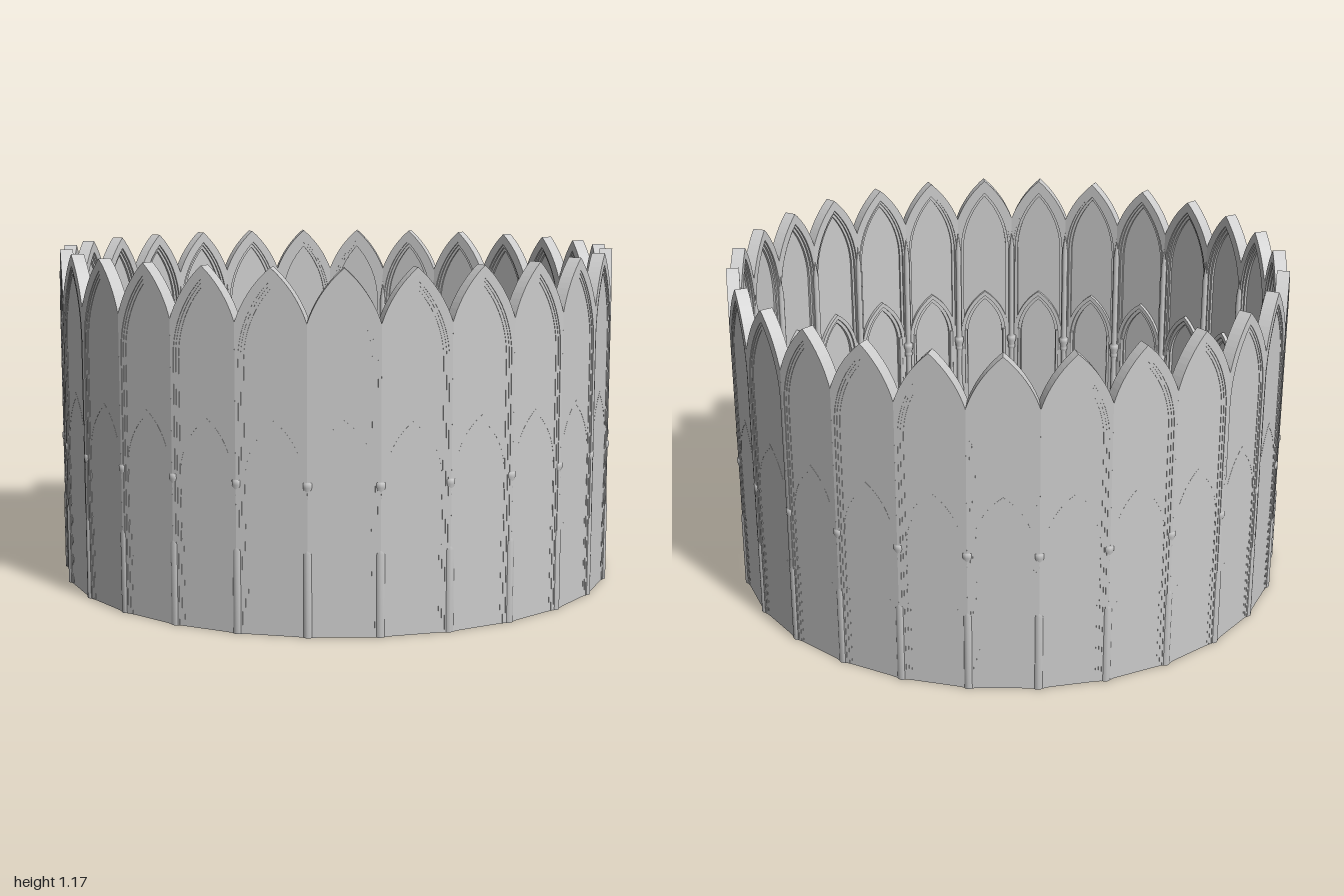
import * as THREE from 'three';

const BAYS = 27;
const STEP = (Math.PI * 2) / BAYS;
const HALF = 0.1157; // half width of one bay

const grey = new THREE.MeshStandardMaterial({ color: 0xcccccc, side: THREE.DoubleSide });

// Pointed arch outline from the right foot over the apex to the left foot.
// c: offset of the arc centres, r: arc radius, spring: springing height
function archLine(c, r, spring, foot, clip = Infinity, n = 10) {
  const start = Math.acos(Math.min(1, (clip + c) / r));
  const end = Math.acos(c / r);
  const right = [];
  for (let i = 0; i <= n; i++) {
    const t = start + ((end - start) * i) / n;
    right.push(new THREE.Vector2(-c + r * Math.cos(t), spring + r * Math.sin(t)));
  }
  right.unshift(new THREE.Vector2(right[0].x, foot));
  const left = right.slice(0, -1).reverse().map((p) => new THREE.Vector2(-p.x, p.y));
  return [...right, ...left];
}

// Extrudes an outline between two distances from the ring's axis
function slab(points, inner, outer) {
  const geo = new THREE.ExtrudeGeometry(new THREE.Shape(points), {
    depth: outer - inner, bevelEnabled: false,
  });
  return geo.translate(0, 0, inner);
}

// Band between an outer and an inner arch line
const band = (outerLine, innerLine, zIn, zOut) =>
  slab([...outerLine, ...innerLine.slice().reverse()], zIn, zOut);

// Turned shaft with plinth, capital and upper shaft
function shaftGeometry() {
  const profile = [
    [0, 0], [0.018, 0], [0.018, 0.27], [0.013, 0.29], [0.011, 0.3], [0.011, 0.445],
    [0.015, 0.45], [0.015, 0.46], [0.013, 0.465], [0.019, 0.485], [0.019, 0.5],
    [0.011, 0.505], [0.011, 0.88], [0, 0.96],
  ].map(([x, y]) => new THREE.Vector2(x, y));
  return new THREE.LatheGeometry(profile, 10);
}

export function createModel() {
  const model = new THREE.Group();
  model.name = 'archedRing';

  // Arch lines of the tall upper arch and the small lower arch
  const C = 0.249, S = 0.88;
  const rim = archLine(C, 0.384, S, 0.0, HALF);
  const rimInner = archLine(C, 0.354, S, 0.0);
  const mould = archLine(C, 0.346, S, 0.0);
  const opening = archLine(C, 0.336, S, 0.0);
  const c = 0.126, s = 0.51;
  const lowRim = archLine(c, 0.226, s, 0.29);
  const lowMid = archLine(c, 0.211, s, 0.0);
  const lowOpening = archLine(c, 0.198, s, 0.0);

  const parts = {
    upperArch: band(rim, rimInner, 0.945, 0.99),
    upperArchMoulding: band(rimInner, mould, 0.951, 0.988),
    upperArchInnerMoulding: band(mould, opening, 0.958, 0.9865),
    wall: band(opening, lowMid, 0.966, 0.985),
    lowerArch: band(lowRim, lowMid, 0.952, 0.9855),
    lowerArchMoulding: band(lowMid, lowOpening, 0.96, 0.985),
    recessedPanel: slab(lowOpening, 0.973, 0.985),
  };

  // Slim jamb shafts beside each lower arch, on a small base
  const jamb = new THREE.CylinderGeometry(0.006, 0.006, 0.24, 8).translate(0, 0.41, 0);
  const jambBase = new THREE.BoxGeometry(0.02, 0.29, 0.03).translate(0, 0.145, 0);
  const shaft = shaftGeometry();

  const add = (group, name, geo, x = 0, z = 0) => {
    const mesh = new THREE.Mesh(geo, grey);
    mesh.name = name;
    mesh.position.set(x, 0, z);
    group.add(mesh);
  };

  for (let i = 0; i < BAYS; i++) {
    const bay = new THREE.Group();
    bay.name = 'bay';
    bay.rotation.y = (i + 0.5) * STEP;
    for (const [name, geo] of Object.entries(parts)) add(bay, name, geo);
    for (const side of [-1, 1]) {
      add(bay, 'jambShaft', jamb, side * 0.08, 0.955);
      add(bay, 'jambBase', jambBase, side * 0.087, 0.9705);
    }
    model.add(bay);

    // Shafts on both faces of the joint between two bays
    const pier = new THREE.Group();
    pier.name = 'pier';
    pier.rotation.y = i * STEP;
    add(pier, 'innerShaft', shaft, 0, 0.951);
    add(pier, 'outerShaft', shaft, 0, 0.982);
    model.add(pier);
  }
  return model;
}
